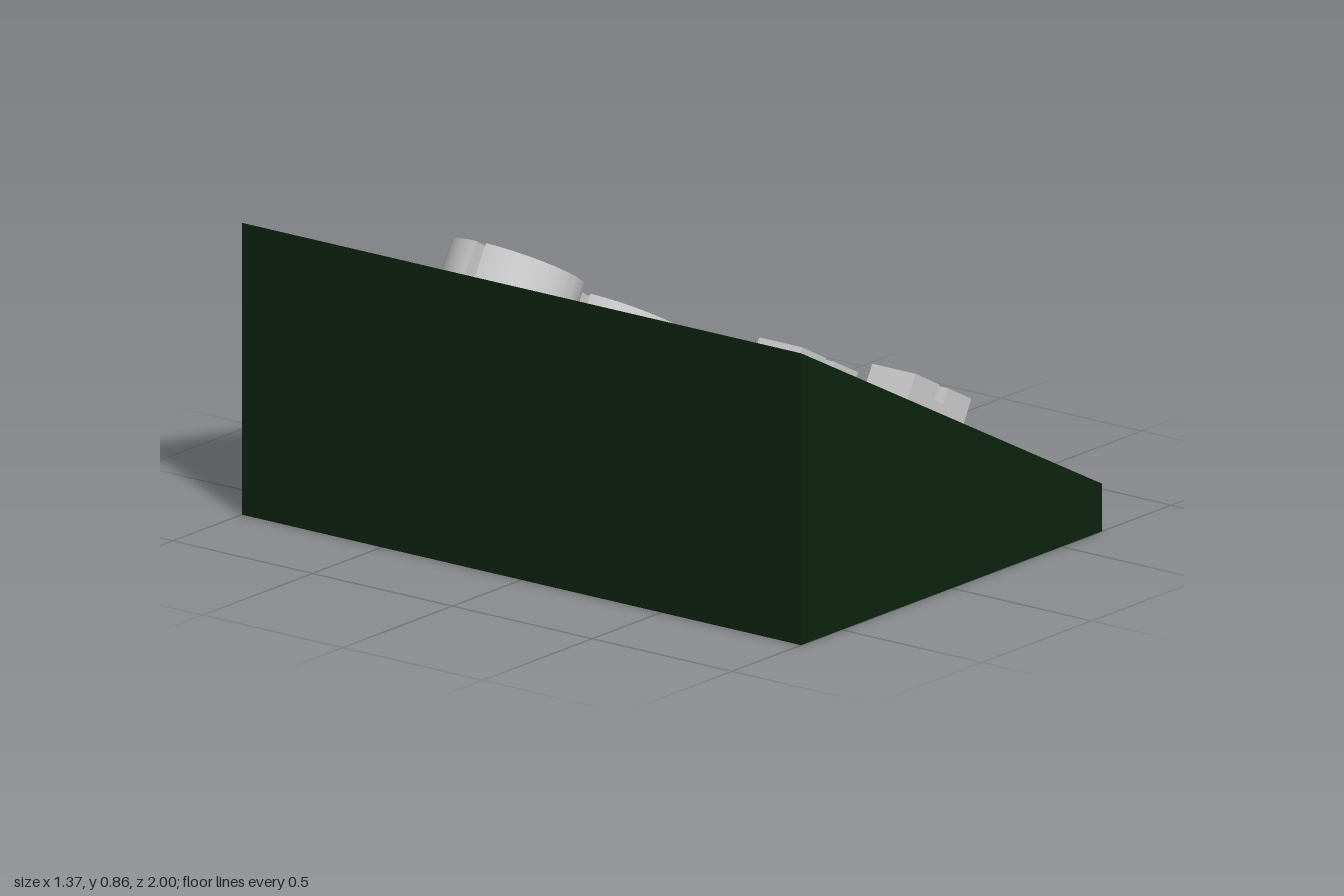
import * as THREE from 'three';
import { toCreasedNormals } from 'three/addons/utils/BufferGeometryUtils.js';

const HALF_X = 0.685, MID_Y = 0.5, SLOPE = 0.525, RECESS = 0.1;
const surfaceY = (x) => MID_Y - SLOPE * x;

// Box-like outline from corner to corner
function rectangle(Type, x0, x1, y0, y1) {
  const s = new Type();
  s.moveTo(x0, y0);
  s.lineTo(x1, y0);
  s.lineTo(x1, y1);
  s.lineTo(x0, y1);
  s.closePath();
  return s;
}

// Profile in x/y, extruded evenly about z
function extrudeZ(points, width) {
  const shape = new THREE.Shape(points.map(([x, y]) => new THREE.Vector2(x, y)));
  const geo = new THREE.ExtrudeGeometry(shape, { depth: width, bevelEnabled: false });
  return geo.translate(0, 0, -width / 2);
}

// Ground outline raised along y
function extrudeY(shape, height) {
  return new THREE.ExtrudeGeometry(shape, { depth: height, bevelEnabled: false, curveSegments: 40 })
    .rotateX(-Math.PI / 2);
}

export function createModel() {
  const group = new THREE.Group();
  const casing = new THREE.MeshStandardMaterial({ color: 0x0d230f });
  casing.name = 'dark green casing';
  const control = new THREE.MeshStandardMaterial({ color: 0xcccccc });
  control.name = 'light grey control';

  const add = (parent, name, geo, mat) => {
    const mesh = new THREE.Mesh(geo, mat);
    mesh.name = name;
    parent.add(mesh);
    return mesh;
  };

  // Wedge body below the recessed panel
  add(group, 'wedgeBody', extrudeZ([
    [-HALF_X, 0], [HALF_X, 0],
    [HALF_X, surfaceY(HALF_X) - RECESS], [-HALF_X, surfaceY(-HALF_X) - RECESS],
  ], 2), casing);

  // Sloping panel with knob wells and slider tracks, sheared to the slope
  const panel = rectangle(THREE.Shape, -HALF_X, HALF_X, -1, 1);
  for (const x of [-0.175, 0.3]) {
    const well = new THREE.Path();
    well.absellipse(x, 0.46, 0.213, 0.233, 0, Math.PI * 2, true, 0);
    panel.holes.push(well);
  }
  const sliderZ = [0.155, 0.56];
  for (const z of sliderZ) {
    panel.holes.push(rectangle(THREE.Path, -0.37, 0.45, -z - 0.02, -z + 0.02));
  }
  const panelGeo = extrudeY(panel, RECESS);
  const pos = panelGeo.attributes.position;
  for (let i = 0; i < pos.count; i++) {
    pos.setY(i, pos.getY(i) + surfaceY(pos.getX(i)) - RECESS);
  }
  panelGeo.computeVertexNormals();
  add(group, 'controlPanel', panelGeo, casing);

  // Round knobs with an open pointer notch in the rim
  const R = 0.198, W = 0.018, a = Math.asin(W / R);
  const notched = new THREE.Shape();
  notched.absarc(0, 0, R, -Math.PI + a, Math.PI - a, false);
  notched.lineTo(-R + 0.087, W);
  notched.lineTo(-R + 0.087, -W);
  notched.closePath();
  const upperGeo = toCreasedNormals(extrudeY(notched, 0.1).translate(0, 0.1, 0), 0.5);
  const lowerGeo = new THREE.CylinderGeometry(R, R, 0.1, 80).translate(0, 0.05, 0);
  [[-0.217, 0.536], [0.258, 0.271]].forEach(([x, y], i) => {
    const knob = new THREE.Group();
    knob.name = i ? 'lowerKnob' : 'upperKnob';
    add(knob, 'knobBase', lowerGeo, control);
    add(knob, 'knobNotchedTop', upperGeo, control);
    knob.position.set(x, y, -0.46);
    knob.rotation.z = -0.538;
    group.add(knob);
  });

  // Slider caps with a finger groove
  const capGeo = extrudeZ([
    [0.232, 0.372], [0.489, 0.236], [0.551, 0.354], [0.444, 0.411],
    [0.422, 0.37], [0.384, 0.39], [0.406, 0.431], [0.298, 0.489],
  ], 0.155);
  sliderZ.forEach((z, i) => {
    add(group, i ? 'frontSlider' : 'rearSlider', capGeo, control).position.z = z;
  });

  return group;
}
